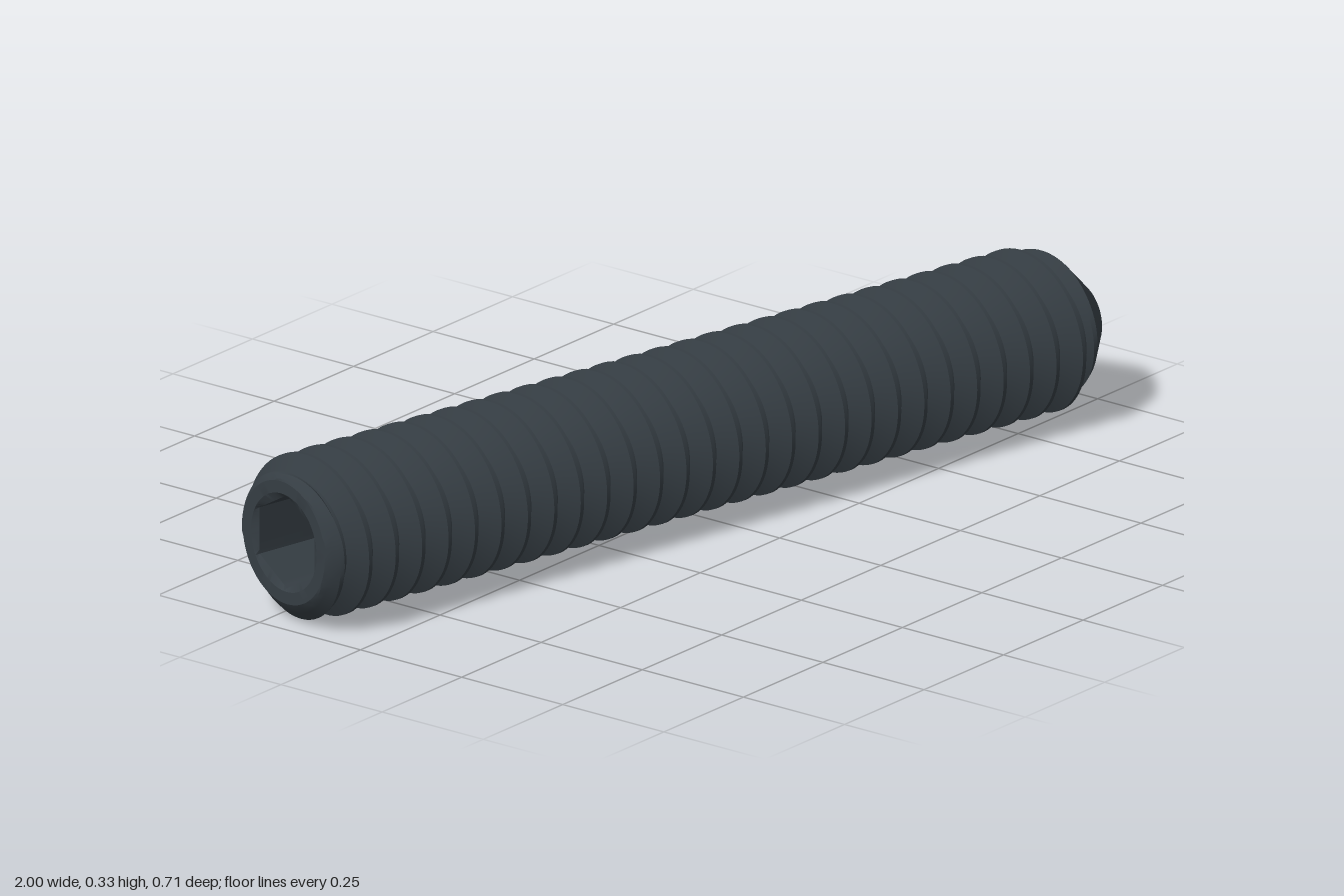
import * as THREE from 'three';
import { toCreasedNormals } from 'three/addons/utils/BufferGeometryUtils.js';

const SIDES = 72;
const LEFT = -0.996, RIGHT = 1.0075;               // ends along the screw axis
const CREST = 0.1665, ROOT = 0.125, PITCH = 0.0667;
const FACE_R = 0.128, CUP_R = 0.074, HEX = 0.0833;  // HEX is half the width across flats

// Skin a run of cross-sections; each ring maps an angle to [axial position, radius]
function skin(rings) {
  const grid = rings.map(ring => {
    const row = [];
    for (let j = 0; j <= SIDES; j++) {
      const a = (j / SIDES) * Math.PI * 2;
      const [s, r] = ring(a);
      row.push(new THREE.Vector3(s, r * Math.cos(a), r * Math.sin(a)));
    }
    return row;
  });
  const pos = [];
  const tri = (a, b, c) => {
    if (new THREE.Triangle(a, b, c).getArea() < 1e-9) return;
    for (const p of [a, b, c]) pos.push(p.x, p.y, p.z);
  };
  for (let i = 0; i + 1 < grid.length; i++) {
    for (let j = 0; j < SIDES; j++) {
      const a = grid[i][j], b = grid[i][j + 1], c = grid[i + 1][j], d = grid[i + 1][j + 1];
      tri(a, b, c);
      tri(b, d, c);
    }
  }
  const g = new THREE.BufferGeometry();
  g.setAttribute('position', new THREE.Float32BufferAttribute(pos, 3));
  return toCreasedNormals(g, Math.PI / 7);
}

const circle = (s, r) => () => [s, r];
const hexagon = s => a => [s, HEX / Math.cos((a % (Math.PI / 3)) - Math.PI / 6)];

// Right-handed helical thread, trimmed by a chamfer on the left and a cone on the right
function threadRings() {
  const profile = [];
  const corners = [[-0.0042, CREST], [0.0042, CREST], [0.0278, ROOT], [0.0389, ROOT], [PITCH - 0.0042, CREST]];
  for (let i = 0; i < 4; i++) {
    const steps = i % 2 ? 3 : 1;
    for (let k = 0; k < steps; k++) {
      const t = k / steps;
      profile.push([
        THREE.MathUtils.lerp(corners[i][0], corners[i + 1][0], t),
        THREE.MathUtils.lerp(corners[i][1], corners[i + 1][1], t)
      ]);
    }
  }
  const rings = [circle(LEFT, ROOT)];
  for (let turn = -3; turn < 31; turn++) {
    for (const [offset, radius] of profile) {
      rings.push(a => {
        const s = -0.931 + PITCH * (turn + a / (Math.PI * 2)) + offset;
        if (s <= LEFT) return [LEFT, ROOT];
        if (s >= RIGHT) return [RIGHT, CUP_R];
        return [s, Math.min(radius, FACE_R + s - LEFT, CUP_R + RIGHT - s)];
      });
    }
  }
  rings.push(circle(RIGHT, CUP_R));
  return rings;
}

export function createModel() {
  const steel = new THREE.MeshStandardMaterial({ color: 0x353d43 });
  steel.name = 'black oxide steel';

  const group = new THREE.Group();
  group.name = 'setScrew';
  const screw = new THREE.Group();
  screw.name = 'screw';
  const add = (name, rings) => {
    const mesh = new THREE.Mesh(skin(rings), steel);
    mesh.name = name;
    screw.add(mesh);
  };

  add('threadedShank', threadRings());

  // Hex socket with a conical floor and a small countersink
  add('hexSocket', [
    circle(LEFT + 0.25, 0),
    hexagon(LEFT + 0.2),
    hexagon(LEFT + 0.008),
    circle(LEFT, 0.1),
    circle(LEFT, ROOT)
  ]);

  // Conical cup in the pointed end
  add('cupPoint', [circle(RIGHT, CUP_R), circle(RIGHT - 0.044, 0)]);

  screw.rotation.y = -0.2128;
  screw.position.y = CREST;
  group.add(screw);
  return group;
}
